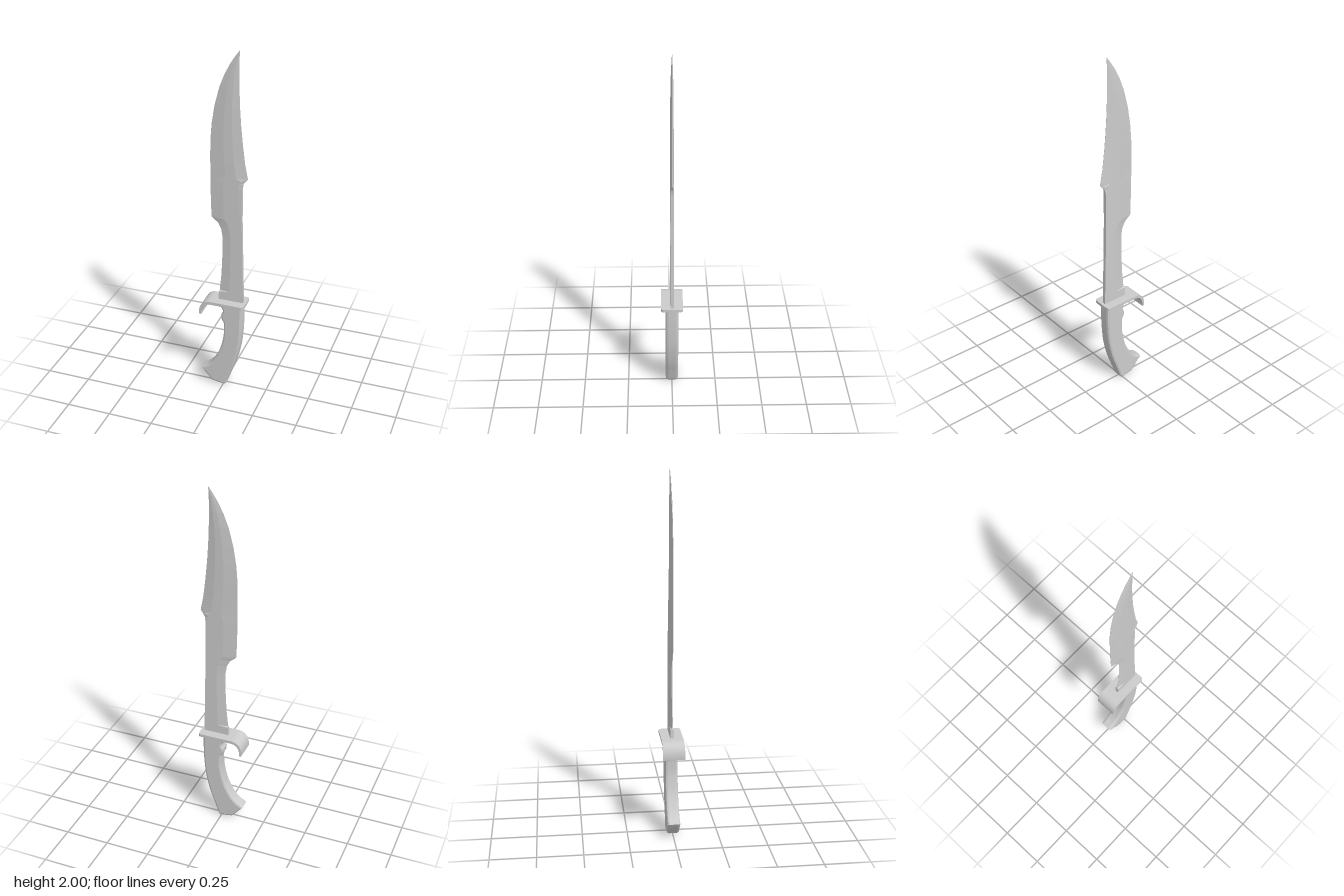
import * as THREE from 'three';

const smooth = () => new THREE.MeshStandardMaterial({ color: 0xcccccc });
const flat = () => new THREE.MeshStandardMaterial({ color: 0xcccccc, flatShading: true });
const vecs = (pts) => pts.map(([x, y]) => new THREE.Vector2(x, y));

function named(name, geometry, material) {
  const mesh = new THREE.Mesh(geometry, material);
  mesh.name = name;
  return mesh;
}

// Blade: eight-point sections lofted upwards.
// Row: height, edge x, spine x, half thickness, half edge thickness, half spine thickness
function bladeGeometry() {
  const e = 0.0008;
  const rows = [
    [0.54, -0.035, 0.109, 0.01, 0.01, 0.01],
    [0.61, -0.031, 0.108, 0.01, 0.01, 0.01],
    [0.615, -0.029, 0.108, 0.01, e, 0.01],
    [0.72, -0.019, 0.105, 0.01, e, 0.01],
    [0.85, -0.013, 0.102, 0.01, e, 0.01],
    [0.95, -0.013, 0.1, 0.01, e, 0.01],
    [1.0, -0.021, 0.099, 0.01, e, 0.01],
    [1.035, -0.04, 0.098, 0.01, e, 0.01],
    [1.058, -0.07, 0.097, 0.01, e, 0.01],
    [1.065, -0.075, 0.097, 0.01, e, 0.01],
    [1.25, -0.08, 0.097, 0.01, e, 0.009],
    [1.28, -0.08, 0.102, 0.01, e, 0.006],
    [1.295, -0.08, 0.114, 0.01, e, 0.003],
    [1.312, -0.08, 0.127, 0.01, e, e],
    [1.4, -0.08, 0.11, 0.01, e, e],
    [1.5, -0.079, 0.098, 0.0095, e, e],
    [1.6, -0.071, 0.088, 0.009, e, e],
    [1.7, -0.055, 0.081, 0.0085, e, e],
    [1.8, -0.029, 0.077, 0.0075, e, e],
    [1.87, -0.002, 0.076, 0.006, e, e],
    [1.93, 0.029, 0.076, 0.004, e, e],
    [1.97, 0.055, 0.077, 0.0025, e, e],
    [2.0, 0.077, 0.079, e, e, e],
  ];
  const pos = [], index = [];
  for (const [y, xl, xr, t, tl, tr] of rows) {
    const w = xr - xl;
    const x1 = xl + w * 0.42, x2 = xr - w * (y > 1.3 ? 0.3 : 0.12);
    const half = [[xl, tl], [x1, t], [x2, t], [xr, tr]];
    for (const [x, z] of half) pos.push(x, y, z);
    for (const [x, z] of half.reverse()) pos.push(x, y, -z);
  }
  const n = 8;
  for (let i = 0; i < rows.length - 1; i++) {
    for (let j = 0; j < n; j++) {
      const a = i * n + j, b = i * n + (j + 1) % n;
      index.push(a, b, b + n, a, b + n, a + n);
    }
  }
  const top = (rows.length - 1) * n;
  for (let j = 1; j < n - 1; j++) {
    index.push(0, j + 1, j, top, top + j, top + j + 1);
  }
  const g = new THREE.BufferGeometry();
  g.setAttribute('position', new THREE.Float32BufferAttribute(pos, 3));
  g.setIndex(index);
  return g;
}

// Handle: curved grip with finger grooves and a flared butt
function handleGeometry() {
  const s = new THREE.Shape();
  s.moveTo(-0.022, 0.548);
  s.splineThru(vecs([[-0.018, 0.525], [-0.006, 0.51], [-0.003, 0.492], [-0.012, 0.47],
    [-0.01, 0.445], [0.0, 0.425], [0.003, 0.4], [0.0, 0.33], [-0.02, 0.24],
    [-0.055, 0.165], [-0.09, 0.122], [-0.133, 0.096]]));
  for (const [x, y] of [[-0.115, 0.07], [-0.068, 0.014], [0.008, 0.002], [0.018, 0.016]]) s.lineTo(x, y);
  s.splineThru(vecs([[0.042, 0.085], [0.072, 0.17], [0.095, 0.27], [0.105, 0.36], [0.109, 0.45], [0.109, 0.548]]));
  s.closePath();
  const bevel = 0.014;
  const g = new THREE.ExtrudeGeometry(s, {
    depth: 0.07 - 2 * bevel, curveSegments: 28, bevelEnabled: true,
    bevelThickness: bevel, bevelSize: 0.012, bevelOffset: -0.012, bevelSegments: 2,
  });
  return g.translate(0, 0, -0.035 + bevel);
}

// Guard plate: rounded at the spine end
function guardPlateGeometry() {
  const r = 0.014, x0 = -0.065, x1 = 0.127, z = 0.06;
  const s = new THREE.Shape();
  s.moveTo(x0, -z);
  s.lineTo(x1 - r - 0.003, -z);
  s.quadraticCurveTo(x1 - 0.003, -z, x1 - 0.002, -z + r);
  s.lineTo(x1, 0);
  s.lineTo(x1 - 0.002, z - r);
  s.quadraticCurveTo(x1 - 0.003, z, x1 - r - 0.003, z);
  s.lineTo(x0, z);
  s.closePath();
  const g = new THREE.ExtrudeGeometry(s, { depth: 0.016, bevelEnabled: false, curveSegments: 6 });
  return g.rotateX(-Math.PI / 2).translate(0, 0.545, 0);
}

// Guard hook: strip curling down in front of the fingers
function guardHookGeometry() {
  const s = new THREE.Shape();
  s.moveTo(-0.065, 0.561);
  s.bezierCurveTo(-0.105, 0.561, -0.135, 0.535, -0.13, 0.473);
  s.lineTo(-0.118, 0.473);
  s.bezierCurveTo(-0.12, 0.52, -0.102, 0.545, -0.065, 0.545);
  s.closePath();
  const g = new THREE.ExtrudeGeometry(s, { depth: 0.12, bevelEnabled: false, curveSegments: 14 });
  return g.translate(0, 0, -0.06);
}

export function createModel() {
  const knife = new THREE.Group();
  knife.name = 'knife';
  const guard = new THREE.Group();
  guard.name = 'guard';
  guard.add(
    named('guardPlate', guardPlateGeometry(), smooth()),
    named('guardHook', guardHookGeometry(), smooth()),
  );
  knife.add(
    named('blade', bladeGeometry(), flat()),
    guard,
    named('handle', handleGeometry(), smooth()),
  );
  return knife;
}
